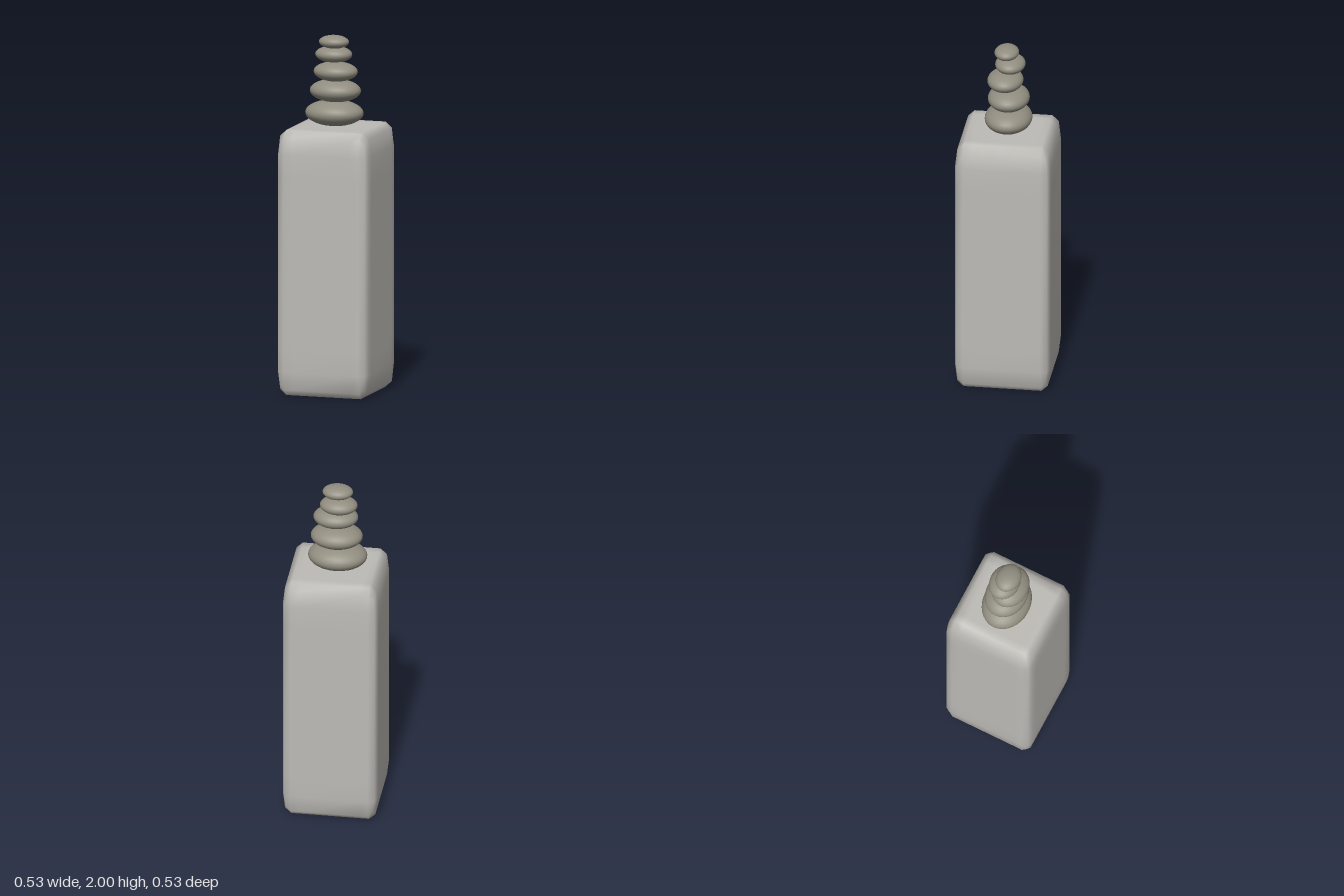
import * as THREE from 'three';
import { mergeVertices } from 'three/addons/utils/BufferGeometryUtils.js';

// Box with softened edges: the outer loops are pulled in, the face centres stay flat
function softBox(w, h, d, loop) {
  let geo = new THREE.BoxGeometry(2, 2, 2, 5, 5, 5);
  geo.deleteAttribute('normal');
  geo.deleteAttribute('uv');
  geo = mergeVertices(geo, 1e-4);
  const p = geo.attributes.position;
  const half = [w / 2, h / 2, d / 2];
  for (let i = 0; i < p.count; i++) {
    const v = [p.getX(i), p.getY(i), p.getZ(i)];
    const outer = v.filter((c) => Math.abs(c) > 0.9).length;
    const inset = [0, 0, loop / 8, (loop * 2) / 9][outer];
    const q = v.map((c, k) => {
      const a = Math.abs(c);
      const r = a > 0.9 ? 1 - inset : a > 0.5 ? 1 - loop / 2 : 1 - loop;
      return Math.sign(c) * r * half[k];
    });
    p.setXYZ(i, ...q);
  }
  geo.computeVertexNormals();
  return geo;
}

export function createModel() {
  const group = new THREE.Group();
  const paleStone = new THREE.MeshStandardMaterial({ color: 0xbdbbb6 });
  paleStone.name = 'paleStone';
  const pebbleStone = new THREE.MeshStandardMaterial({ color: 0x918d80 });
  pebbleStone.name = 'pebbleStone';

  // Tall pedestal
  const pedestal = new THREE.Mesh(softBox(0.53, 1.49, 0.53, 0.36), paleStone);
  pedestal.name = 'pedestal';
  pedestal.position.y = 0.745;
  group.add(pedestal);

  // Balanced pebbles, bottom to top: centre x, y, z and radius
  const pebbles = [
    [-0.01, 1.563, -0.002, 0.165],
    [-0.005, 1.688, -0.004, 0.145],
    [0.003, 1.798, 0.014, 0.125],
    [-0.017, 1.89, -0.011, 0.105],
    [-0.009, 1.963, 0.008, 0.085],
  ];
  const stack = new THREE.Group();
  stack.name = 'pebbleStack';
  const sphere = new THREE.SphereGeometry(1, 32, 20);
  pebbles.forEach(([x, y, z, r], i) => {
    const pebble = new THREE.Mesh(sphere, pebbleStone);
    pebble.name = `pebble${i + 1}`;
    pebble.position.set(x, y, z);
    pebble.scale.set(r, r * 0.44, r * 0.8);
    stack.add(pebble);
  });
  group.add(stack);
  return group;
}
